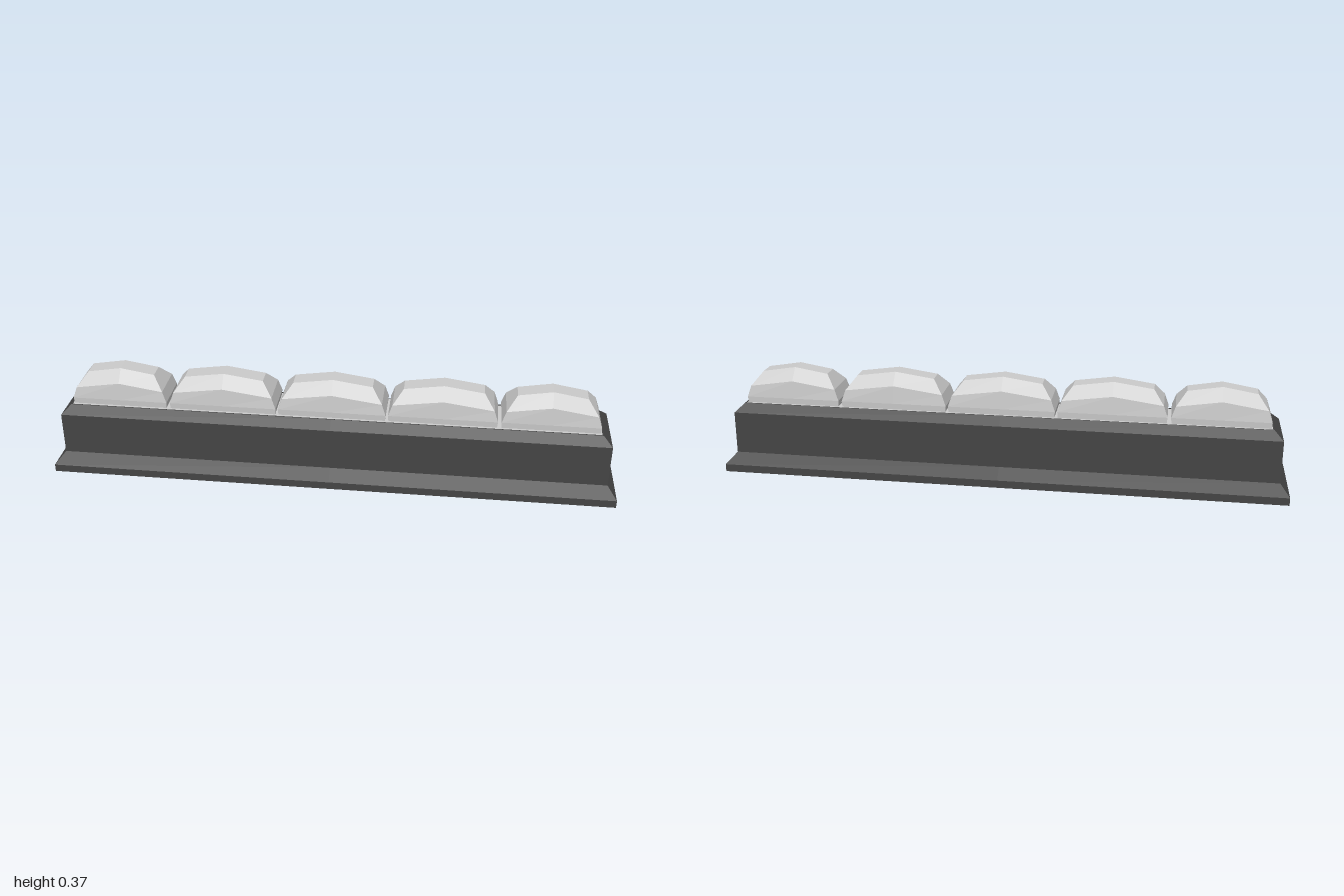
import * as THREE from 'three';

// Stacks rectangular rings [halfX, halfZ, endY, midY] into a flat-faced shell.
function stackRings(rings, capped) {
  const pos = [];
  const quad = (a, b, c, d) => [a, b, c, a, c, d].forEach((p) => pos.push(...p));
  const loops = rings.map(([x, z, y, mid = y]) => [
    [-x, y, z], [0, mid, z], [x, y, z],
    [x, y, -z], [0, mid, -z], [-x, y, -z],
  ]);
  for (let r = 0; r < loops.length - 1; r++) {
    for (let i = 0; i < 6; i++) {
      const j = (i + 1) % 6;
      quad(loops[r][i], loops[r][j], loops[r + 1][j], loops[r + 1][i]);
    }
  }
  if (capped) {
    const t = loops[loops.length - 1];
    quad(t[0], t[1], t[4], t[5]);
    quad(t[1], t[2], t[3], t[4]);
  }
  const geo = new THREE.BufferGeometry();
  geo.setAttribute('position', new THREE.Float32BufferAttribute(pos, 3));
  geo.computeVertexNormals();
  return geo;
}

export function createModel() {
  const model = new THREE.Group();
  model.name = 'stoneToppedWall';

  const dark = new THREE.MeshStandardMaterial({ color: 0x444444, flatShading: true, side: THREE.DoubleSide });
  const grey = new THREE.MeshStandardMaterial({ color: 0xcccccc, flatShading: true, side: THREE.DoubleSide });

  const add = (name, geo, mat, x = 0) => {
    const mesh = new THREE.Mesh(geo, mat);
    mesh.name = name;
    mesh.position.x = x;
    model.add(mesh);
  };

  // Hollow base, open underneath: plinth, flare, wall, bevelled shoulder, rim
  add('base', stackRings([
    [1, 0.162, 0], [1, 0.162, 0.027], [0.968, 0.12, 0.062],
    [0.968, 0.12, 0.213], [0.937, 0.09, 0.242], [0.933, 0.086, 0.242],
  ], false), dark);

  // Pale bed the stones sit on
  const bed = new THREE.PlaneGeometry(1.866, 0.172);
  bed.rotateX(-Math.PI / 2).translate(0, 0.241, 0);
  add('bed', bed, grey);

  // Row of five faceted capstones, the outer two slightly shorter
  const stones = [[-0.76, 0.17], [-0.388, 0.19], [0, 0.19], [0.388, 0.19], [0.76, 0.17]];
  stones.forEach(([x, h], i) => {
    add(`capstone${i + 1}`, stackRings([
      [h - 0.002, 0.075, 0.241], [h, 0.0765, 0.262],
      [h - 0.014, 0.072, 0.302, 0.326], [h - 0.05, 0.032, 0.348, 0.368],
    ], true), grey, x);
  });

  return model;
}
